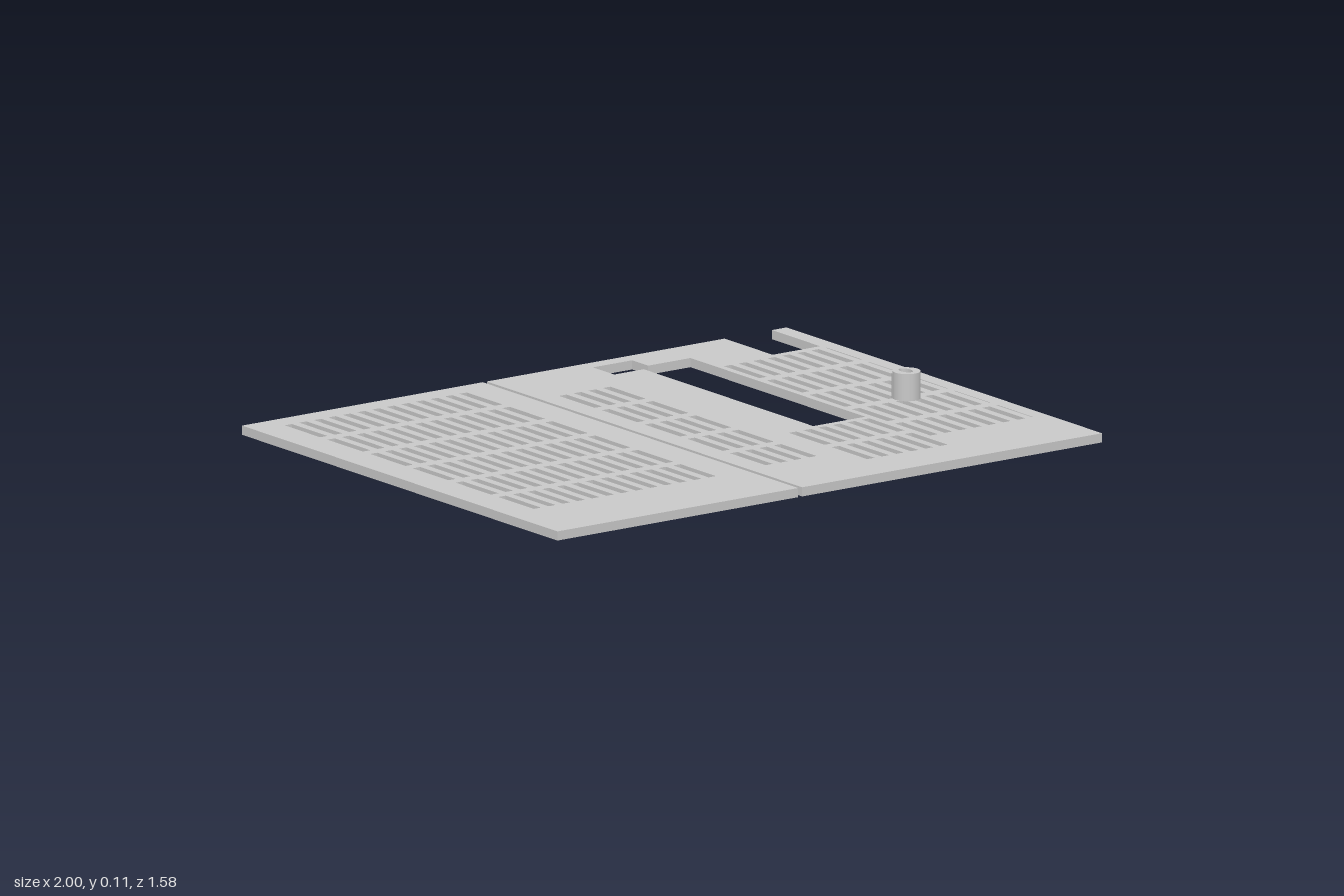
import * as THREE from 'three';

const THICK = 0.028;
const PITCH_X = 0.0535, PITCH_Z = 0.214, SLOT_W = 0.027, SLOT_L = 0.178;
const PEG_X = 0.785, PEG_Z = 0.1;

// Outlines are given as [x, z] pairs on the ground plane
const toPoints = (pts) => pts.map(([x, z]) => new THREE.Vector2(x, -z));
const panelShape = (pts) => new THREE.Shape(toPoints(pts).reverse());
const cutout = (pts) => new THREE.Path(toPoints(pts));
const ovalCutout = (z, rx, rz) => new THREE.Path().absellipse(PEG_X, -z, rx, rz, 0, Math.PI * 2, true);
const bore = () => ovalCutout(PEG_Z, 0.017, 0.027);

// Adds a grid of rectangular slots; trim() may shorten a slot's z range
function addSlots(shape, x, z, cols, rows, width = SLOT_W, trim = (c, r, range) => range) {
  for (let r = 0; r < rows; r++) {
    for (let c = 0; c < cols; c++) {
      const x0 = x + c * PITCH_X, x1 = x0 + width, z0 = z + r * PITCH_Z;
      const [a, b] = trim(c, r, [z0, z0 + SLOT_L]);
      shape.holes.push(cutout([[x0, a], [x1, a], [x1, b], [x0, b]]));
    }
  }
}

// Extrudes a ground-plane shape upwards between two heights
function slab(name, shape, bottom, top, material) {
  const geometry = new THREE.ExtrudeGeometry(shape, { depth: top - bottom, bevelEnabled: false, curveSegments: 32 });
  geometry.rotateX(-Math.PI / 2);
  const mesh = new THREE.Mesh(geometry, material);
  mesh.position.y = bottom;
  mesh.name = name;
  return mesh;
}

// Hollow oval tube standing on the panel
function tube(name, z, rx, rz, hole, top, material) {
  const shape = new THREE.Shape();
  shape.absellipse(PEG_X, -z, rx, rz, 0, Math.PI * 2, false);
  shape.holes.push(hole);
  return slab(name, shape, THICK, top, material);
}

export function createModel() {
  const group = new THREE.Group();
  group.name = 'ventedPanels';
  const grey = new THREE.MeshStandardMaterial({ color: 0xc8c8c8 });
  grey.name = 'panel grey';

  // Narrow panel with one large slot grid
  const narrow = panelShape([[-1, -0.79], [-0.116, -0.79], [-0.116, 0.79], [-1, 0.79]]);
  addSlots(narrow, -0.896, -0.718, 13, 6);
  group.add(slab('narrowPanel', narrow, 0, THICK, grey));

  // Wide panel, notched at the back edge
  const wide = panelShape([
    [-0.101, -0.79], [0.772, -0.79], [0.772, -0.549], [0.946, -0.549],
    [0.946, -0.79], [1, -0.79], [1, 0.79], [-0.101, 0.79],
  ]);

  // Stepped opening
  wide.holes.push(cutout([
    [0.253, -0.741], [0.397, -0.741], [0.397, -0.661], [0.552, -0.661],
    [0.552, 0.215], [0.361, 0.215], [0.361, -0.634], [0.253, -0.634],
  ]));

  // Slot grids; the column under the peg stops short of its bore
  addSlots(wide, -0.031, -0.523, 4, 5);
  addSlots(wide, 0.255, 0.238, 6, 2);
  addSlots(wide, 0.574, -0.523, 7, 5, SLOT_W, (c, r, [a, b]) => {
    if (c === 4 && r === 2) return [a, 0.066];
    if (c === 4 && r === 3) return [0.134, b];
    return [a, b];
  });
  addSlots(wide, 0.9475, -0.523, 1, 5, 0.004);
  wide.holes.push(bore());
  group.add(slab('widePanel', wide, 0, THICK, grey));

  // Hollow peg with a slightly lower lip at the back
  group.add(tube('peg', 0.104, 0.041, 0.043, bore(), 0.111, grey));
  group.add(tube('pegLip', 0.096, 0.039, 0.042, ovalCutout(0.1, 0.028, 0.034), 0.103, grey));

  return group;
}
